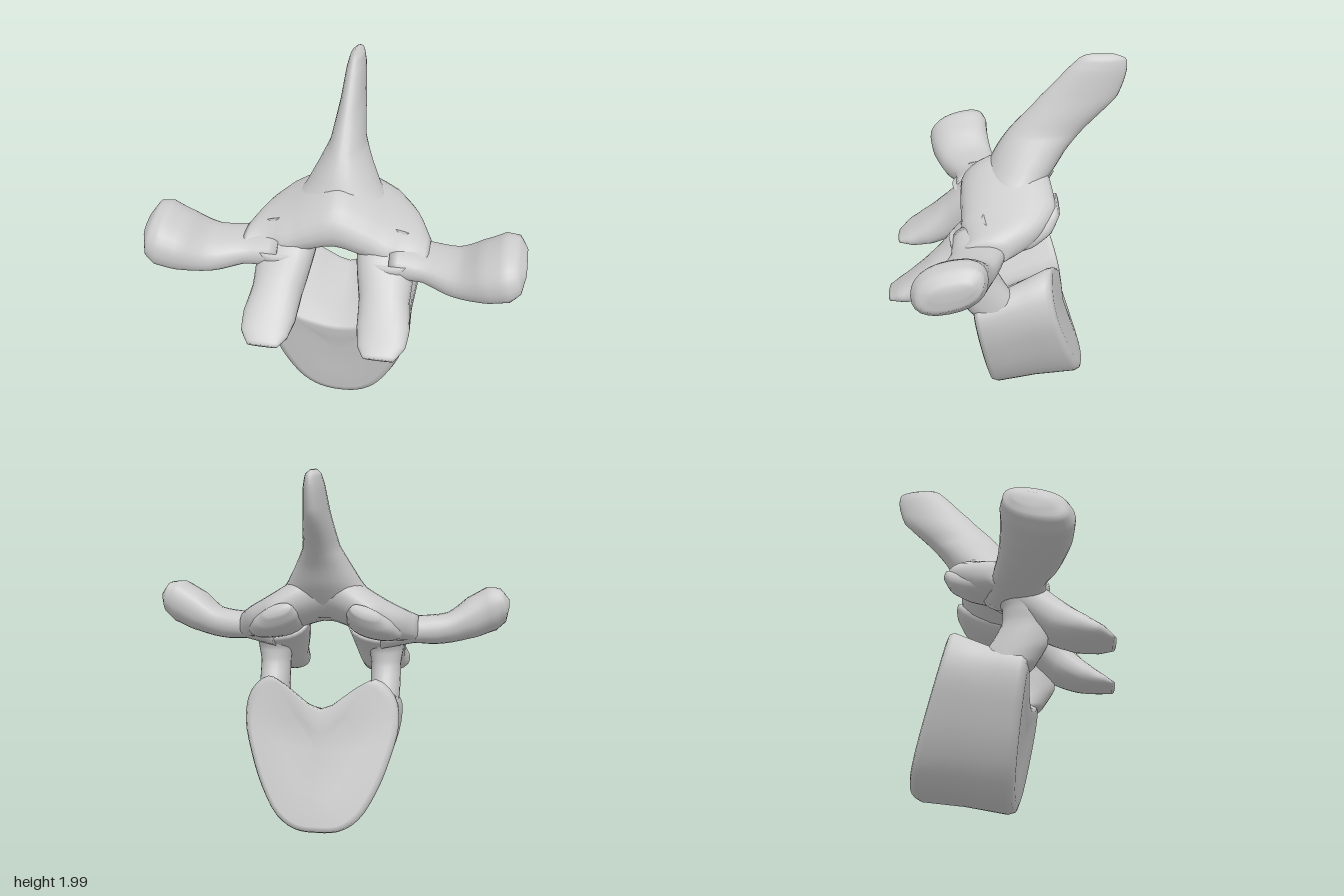
import * as THREE from 'three';

const V = (x, y, z) => new THREE.Vector3(x, y, z);
const material = new THREE.MeshStandardMaterial({ color: 0xcccccc });

// Closed skin over a list of equally sized rings, with a fan at each end
function skin(name, rings) {
  const n = rings[0].length, pos = [], idx = [];
  rings.forEach(r => r.forEach(p => pos.push(p.x, p.y, p.z)));
  for (let i = 0; i < rings.length - 1; i++) {
    for (let j = 0; j < n; j++) {
      const a = i * n + j, b = i * n + (j + 1) % n;
      idx.push(a, b, b + n, a, b + n, a + n);
    }
  }
  [0, rings.length - 1].forEach((k, end) => {
    const c = rings[k].reduce((s, p) => s.add(p), V(0, 0, 0)).divideScalar(n);
    const ci = pos.length / 3;
    pos.push(c.x, c.y, c.z);
    for (let j = 0; j < n; j++) {
      const a = k * n + j, b = k * n + (j + 1) % n;
      idx.push(...(end ? [a, b, ci] : [b, a, ci]));
    }
  });
  // turn the faces outwards if the enclosed volume is negative
  const at = i => V(pos[3 * i], pos[3 * i + 1], pos[3 * i + 2]);
  let volume = 0;
  for (let i = 0; i < idx.length; i += 3) volume += at(idx[i]).dot(at(idx[i + 1]).cross(at(idx[i + 2])));
  if (volume < 0) idx.reverse();
  const g = new THREE.BufferGeometry();
  g.setAttribute('position', new THREE.Float32BufferAttribute(pos, 3));
  g.setIndex(idx);
  g.computeVertexNormals();
  const mesh = new THREE.Mesh(g, material);
  mesh.name = name;
  return mesh;
}

// Limb through rounded sections [centre, half axis u, half axis v], mirrored by side
function limb(name, sections, side = 1, power = 0.8, steps = 4) {
  const curves = [0, 1, 2].map(k => new THREE.CatmullRomCurve3(
    sections.map(s => V(side * s[k][0], s[k][1], s[k][2])), false, 'centripetal'));
  // axes may repeat, so they are blended linearly
  const blend = (k, t) => {
    const p = curves[k].points, f = t * (p.length - 1), i = Math.min(Math.floor(f), p.length - 2);
    return p[i].clone().lerp(p[i + 1], f - i);
  };
  const soft = a => Math.sign(a) * Math.abs(a) ** power;
  const rings = [], count = (sections.length - 1) * steps;
  for (let i = 0; i <= count; i++) {
    const t = i / count, c = curves[0].getPoint(t), u = blend(1, t), v = blend(2, t), ring = [];
    for (let j = 0; j < 24; j++) {
      const a = j / 24 * Math.PI * 2;
      ring.push(c.clone().addScaledVector(u, soft(Math.cos(a))).addScaledVector(v, soft(Math.sin(a))));
    }
    rings.push(ring);
  }
  return skin(name, rings);
}

// Heart-shaped block: the front and back outlines are blended along the depth
function body() {
  const front = [[0, 0], [.12, .02], [.22, .09], [.31, .23], [.37, .38], [.415, .55], [.41, .68], [.34, .71], [.2, .64], [0, .6]];
  const back = [[0, .1], [.12, .11], [.22, .17], [.31, .31], [.38, .49], [.42, .67], [.39, .82], [.29, .91], [.19, .87], [0, .75]];
  const outline = half => {
    const mirrored = half.slice(1, -1).reverse().map(([x, y]) => [-x, y]);
    return new THREE.CatmullRomCurve3([...half, ...mirrored].map(([x, y]) => V(x, y, 0)), true, 'centripetal');
  };
  const f = outline(front), b = outline(back);
  const layers = [[.02, .45], [0, .85], [.02, .96], [.08, 1], [.3, .99], [.5, .98], [.7, .99], [.92, 1], [.98, .97], [1, .9], [.98, .5]];
  return skin('vertebralBody', layers.map(([t, s]) => {
    const ring = [];
    for (let j = 0; j < 54; j++) {
      const p = f.getPoint(j / 54), q = b.getPoint(j / 54);
      p.z = .065 + .16 * p.y;
      q.z = -.475 + .25 * (q.y - .12) + .35 * q.x * q.x;
      p.lerp(q, t);
      const cy = .38 + .12 * t;
      const cz = (.065 + .16 * cy) * (1 - t) + (-.475 + .25 * (cy - .12)) * t;
      ring.push(V(p.x * s, cy + (p.y - cy) * s, cz + (p.z - cz) * s));
    }
    return ring;
  }));
}

export function createModel() {
  const group = new THREE.Group();
  group.name = 'vertebra';
  group.add(body());

  // Tall blade leaning backwards: [height, front z, back z, half width]
  const blade = [
    [1.2, .18, -.1, .3], [1.3, .13, -.2, .27], [1.4, .085, -.28, .2], [1.5, .035, -.34, .145], [1.6, -.03, -.42, .095],
    [1.78, -.19, -.59, .065], [1.92, -.32, -.63, .05], [1.98, -.38, -.62, .035], [2, -.42, -.57, .012]];
  group.add(limb('spinousProcess', blade.map(([y, a, b, w]) =>
    [[0, y, (a + b) / 2], [0, 0, (a - b) / 2], [w, 0, 0]]), 1, 1));

  // Roof of the canal, spanning both sides
  const roof = [
    [[.5, 1.11, .13], [0, .01, -.13], [0, .07, 0]],
    [[.4, 1.15, .02], [0, .03, -.19], [.02, .09, 0]],
    [[.27, 1.2, -.02], [0, .05, -.25], [.03, .11, 0]],
    [[.13, 1.27, -.01], [0, .06, -.24], [.02, .13, 0]]];
  const flip = ([c, u, v]) => [[-c[0], c[1], c[2]], u, [-v[0], v[1], v[2]]];
  const crown = [[0, 1.31, .01], [0, .06, -.22], [0, .15, 0]];
  group.add(limb('lamina', [...roof, crown, ...roof.map(flip).reverse()], 1, .9));

  for (const side of [1, -1]) {
    const tag = side > 0 ? 'left' : 'right';

    // Side arm with a swollen tip
    group.add(limb(tag + 'TransverseProcess', [
      [[.3, 1.1, .1], [0, 0, .17], [0, .1, 0]],
      [[.48, 1.1, .14], [0, -.01, .14], [0, .075, 0]],
      [[.65, 1.1, .2], [0, -.02, .155], [.01, .09, 0]],
      [[.8, 1.155, .25], [0, -.03, .175], [-.03, .115, 0]],
      [[.91, 1.205, .265], [0, -.04, .18], [-.03, .125, 0]],
      [[.97, 1.225, .26], [0, -.04, .155], [-.02, .095, 0]],
      [[1, 1.23, .25], [0, -.02, .09], [0, .035, 0]]], side, .85));

    // Column joining the block to the roof
    group.add(limb(tag + 'Pedicle', [
      [[.31, .62, .03], [.09, 0, 0], [0, .06, .17]],
      [[.32, .76, .1], [.085, 0, 0], [0, .03, .17]],
      [[.32, .9, .15], [.085, 0, 0], [0, 0, .12]],
      [[.32, 1.0, .15], [.1, 0, 0], [0, 0, .115]],
      [[.31, 1.13, .12], [.15, 0, 0], [0, 0, .17]]], side, .95));

    // Thin wing reaching forwards and down
    group.add(limb(tag + 'FrontArticularProcess', [
      [[.27, 1.17, .03], [.17, -.02, 0], [0, .1, .08]],
      [[.275, 1.05, .18], [.155, -.02, 0], [0, .09, .07]],
      [[.29, .93, .31], [.135, 0, 0], [0, .1, .05]],
      [[.305, .85, .44], [.14, .01, 0], [0, .07, .04]],
      [[.31, .81, .54], [.125, .01, 0], [0, .04, .025]],
      [[.305, .785, .61], [.08, 0, 0], [0, .015, .01]]], side, .85));

    // Facet plate under the rear edge of the roof
    group.add(limb(tag + 'RearArticularProcess', [
      [[.28, 1.14, .02], [.16, -.02, 0], [0, .08, .02]],
      [[.27, 1.17, -.12], [.15, -.03, 0], [0, .07, .03]],
      [[.25, 1.22, -.22], [.12, -.03, 0], [0, .055, .03]],
      [[.23, 1.27, -.28], [.07, -.02, 0], [0, .03, .01]]], side, .9));
  }
  return group;
}
